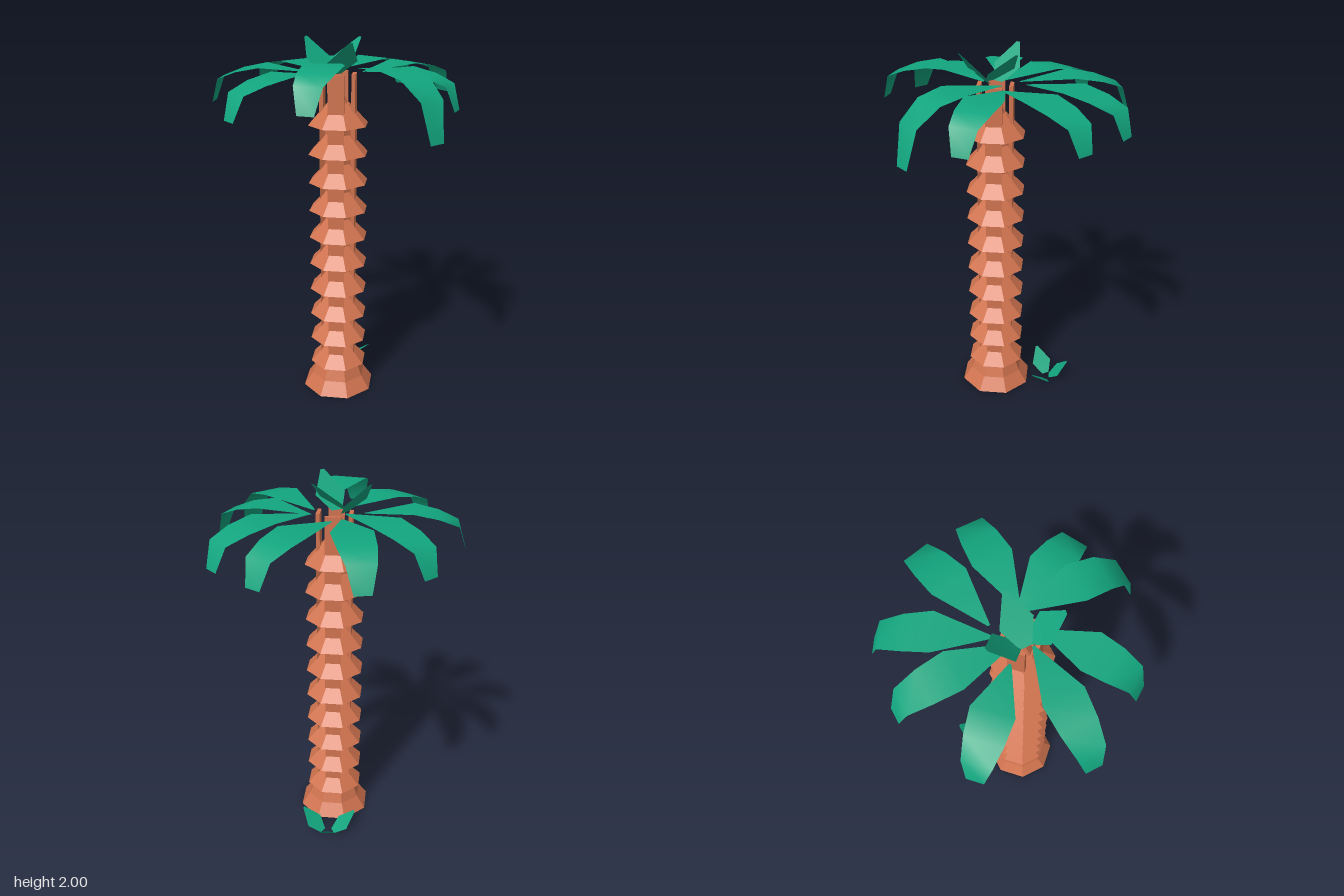
import * as THREE from 'three';

const bark = new THREE.MeshStandardMaterial({ color: 0xd0734f, flatShading: true });
const green = new THREE.MeshStandardMaterial({ color: 0x12a57e, side: THREE.DoubleSide });

function add(parent, name, geometry, material) {
  const mesh = new THREE.Mesh(geometry, material);
  mesh.name = name;
  parent.add(mesh);
  return mesh;
}

// Eight-sided frustum with flat faces on the axes; a and b are face distances.
function octagon(bottom, top, y0, y1, open = false) {
  const k = 1 / Math.cos(Math.PI / 8);
  const g = new THREE.CylinderGeometry(top * k, bottom * k, y1 - y0, 8, 1, open);
  return g.rotateY(Math.PI / 8).translate(0, (y0 + y1) / 2, 0);
}

// Flat-across strip from base to tip; rows are [share of the way, height, half width].
function bladeGeometry([bx, bz], [tx, tz], rows) {
  const dx = tx - bx, dz = tz - bz, len = Math.hypot(dx, dz);
  const sx = dz / len, sz = -dx / len;
  const pos = [], index = [];
  rows.forEach(([t, y, w], i) => {
    const x = bx + dx * t, z = bz + dz * t;
    pos.push(x + sx * w, y, z + sz * w, x - sx * w, y, z - sz * w);
    if (i > 0) {
      const a = 2 * i - 2;
      index.push(a, a + 2, a + 1, a + 1, a + 2, a + 3);
    }
  });
  const g = new THREE.BufferGeometry();
  g.setAttribute('position', new THREE.Float32BufferAttribute(pos, 3));
  g.setIndex(index);
  g.computeVertexNormals();
  return g;
}

function createTrunk() {
  const trunk = new THREE.Group();
  trunk.name = 'trunk';
  trunk.position.set(0.01, 0, 0.02);

  // Flared foot
  add(trunk, 'footLower', octagon(0.19, 0.143, 0, 0.075), bark);
  add(trunk, 'footUpper', octagon(0.143, 0.11, 0.075, 0.17), bark);

  // Column with a recessed strip on each of the four axis sides
  const shape = new THREE.Shape();
  const corner = [[0.062, 0.035], [0.097, 0.035], [0.035, 0.097], [0.035, 0.062]];
  for (let q = 0; q < 4; q++) {
    const c = Math.cos(q * Math.PI / 2), s = Math.sin(q * Math.PI / 2);
    corner.forEach(([x, y], i) => {
      const px = x * c - y * s, py = x * s + y * c;
      if (q + i === 0) shape.moveTo(px, py);
      else shape.lineTo(px, py);
    });
  }
  const column = new THREE.ExtrudeGeometry(shape, { depth: 1.5, bevelEnabled: false });
  column.rotateX(-Math.PI / 2).translate(0, 0.14, 0);
  add(trunk, 'column', column, bark);

  // Overlapping bark rings
  for (let i = 0; i < 10; i++) {
    const y = 0.157 + i * 0.1565;
    add(trunk, 'barkRing', octagon(0.15, 0.055, y, y + 0.112), bark);
  }

  // Pointed core and four corner posts at the top
  add(trunk, 'topCore', octagon(0.05, 0.004, 1.67, 1.77), bark);
  for (let i = 0; i < 4; i++) {
    const post = add(trunk, 'topPost', new THREE.BoxGeometry(0.085, 0.22, 0.02), bark);
    const a = Math.PI / 4 + i * Math.PI / 2;
    post.position.set(Math.sin(a) * 0.083, 1.72, Math.cos(a) * 0.083);
    post.rotation.y = a;
  }
  return trunk;
}

function createFronds() {
  const fronds = new THREE.Group();
  fronds.name = 'fronds';
  // Base, tip, lift, extra droop
  const list = [
    [[0.03, 0.09], [0.03, 0.675], 0, 0],
    [[0.06, -0.1], [0.06, -0.68], 0, 0],
    [[0.05, -0.08], [0.645, -0.08], 0.02, 0.12],
    [[-0.05, 0.04], [-0.65, 0.05], 0, 0],
    [[-0.1, -0.09], [-0.245, -0.65], 0, 0],
    [[-0.11, -0.03], [-0.6, -0.315], 0, 0],
    [[0.05, -0.1], [0.505, -0.345], 0, 0],
    [[-0.1, 0.12], [-0.46, 0.485], 0, 0],
    [[0.08, 0.06], [0.37, 0.475], 0.06, 0],
  ];
  for (const [base, tip, lift, droop] of list) {
    const rows = [
      [0, 1.83, 0.006], [0.48, 1.86, 0.102], [0.72, 1.835, 0.092],
      [0.92, 1.795 - droop * 0.4, 0.071], [1, 1.67 - droop, 0.042],
    ].map(([t, y, w]) => [t, y + lift, w]);
    add(fronds, 'frond', bladeGeometry(base, tip, rows), green);
  }
  return fronds;
}

// Three short upright blades
function createSprout(name, blades, y, h, w) {
  const sprout = new THREE.Group();
  sprout.name = name;
  const rows = [[0, y, w * 0.35], [0.45, y + h * 0.4, w], [1, y + h, w * 0.12]];
  for (const [base, tip] of blades) add(sprout, 'sproutBlade', bladeGeometry(base, tip, rows), green);
  return sprout;
}

export function createModel() {
  const palm = new THREE.Group();
  palm.name = 'palmTree';
  palm.add(createTrunk(), createFronds());
  palm.add(createSprout('crownSprout', [
    [[0, 0.08], [0, -0.13]],
    [[-0.03, 0.05], [-0.19, 0.08]],
    [[0.03, 0.05], [0.19, 0.08]],
  ], 1.83, 0.17, 0.085));
  palm.add(createSprout('groundSprout', [
    [[-0.22, -0.21], [-0.3, -0.28]],
    [[-0.18, -0.22], [-0.05, -0.26]],
    [[-0.22, -0.18], [-0.26, -0.05]],
  ], 0, 0.11, 0.06));
  return palm;
}
